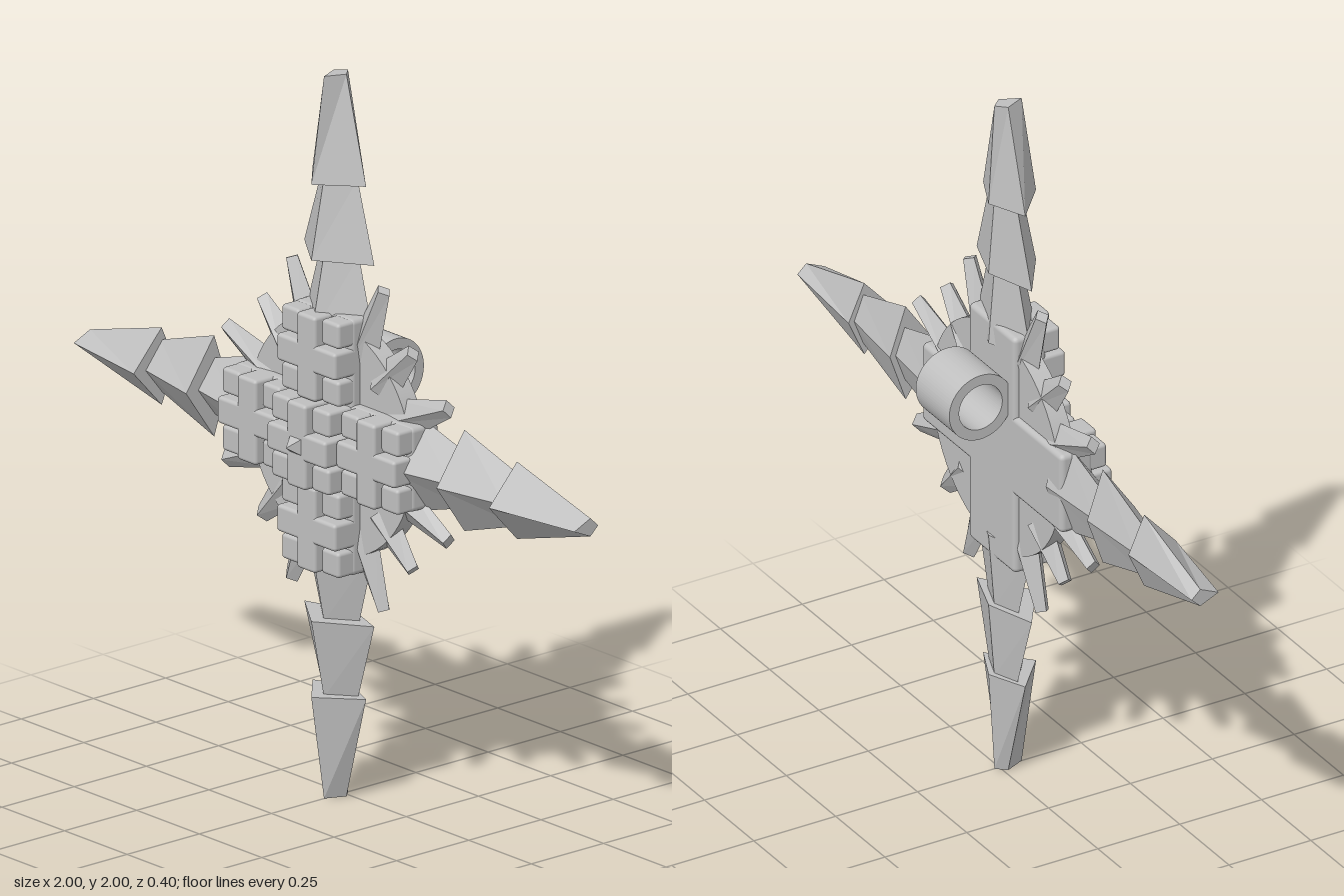
import * as THREE from 'three';
import { RoundedBoxGeometry } from 'three/addons/geometries/RoundedBoxGeometry.js';

const metal = new THREE.MeshStandardMaterial({ color: 0xbfbfbf });
metal.name = 'grey metal';

function add(parent, name, geometry, x = 0, y = 0, z = 0) {
  const mesh = new THREE.Mesh(geometry, metal);
  mesh.name = name;
  mesh.position.set(x, y, z);
  parent.add(mesh);
  return mesh;
}

// Tapered bar with a kite cross-section, running along +y.
// Each end: { y, w: half width, front, mid, back } (z positions)
function taper(base, tip) {
  const points = [];
  for (const e of [base, tip]) {
    points.push(0, e.y, e.front, e.w, e.y, e.mid, 0, e.y, e.back, -e.w, e.y, e.mid);
  }
  const index = [0, 3, 2, 0, 2, 1, 4, 5, 6, 4, 6, 7];
  for (let i = 0; i < 4; i++) {
    const j = (i + 1) % 4;
    index.push(i, j, j + 4, i, j + 4, i + 4);
  }
  const g = new THREE.BufferGeometry();
  g.setAttribute('position', new THREE.Float32BufferAttribute(points, 3));
  g.setIndex(index);
  const flat = g.toNonIndexed();
  flat.computeVertexNormals();
  return flat;
}

// Box given by its centre, size and z range, with softened edges
function block(parent, name, x, y, w, h, z0, z1, r = 0.01) {
  return add(parent, name, new RoundedBoxGeometry(w, h, z1 - z0, 2, r), x, y, (z0 + z1) / 2);
}

// Square tile: raised plus with four lower corner studs
function plusTile(parent, x, y, z0, top, cornerTop) {
  const tile = new THREE.Group();
  tile.name = 'plusTile';
  tile.position.set(x, y, 0);
  block(tile, 'plusUpright', 0, 0, 0.075, 0.235, z0, top);
  block(tile, 'plusCrossbar', 0, 0, 0.235, 0.075, z0, top);
  for (const sx of [-1, 1]) {
    for (const sy of [-1, 1]) {
      block(tile, 'cornerStud', sx * 0.08, sy * 0.08, 0.07, 0.07, z0, cornerTop);
    }
  }
  parent.add(tile);
}

export function createModel() {
  const model = new THREE.Group();
  model.name = 'starPendant';
  const star = new THREE.Group();
  star.name = 'star';
  star.position.y = 1;
  model.add(star);

  // Four long arms of nested tapered segments
  const segments = [
    [0.29, 0.51, 0.14, 0.075],
    [0.5, 0.72, 0.14, 0.07],
    [0.71, 1, 0.107, 0.025],
  ];
  for (let i = 0; i < 4; i++) {
    const arm = new THREE.Group();
    arm.name = 'arm';
    arm.rotation.z = i * Math.PI / 2;
    for (const [y0, y1, w0, w1] of segments) {
      add(arm, 'armSegment', taper(
        { y: y0, w: w0, front: 0.112, mid: 0.015, back: -0.033 },
        { y: y1, w: w1, front: 0.068, mid: 0.012, back: -0.015 }));
    }
    star.add(arm);

    // Three short spikes between neighbouring arms
    for (const step of [1, 2, 3]) {
      const len = step === 2 ? 0.425 : 0.48;
      const spike = add(star, 'spike', taper(
        { y: 0.25, w: 0.06, front: 0.06, mid: 0.02, back: -0.02 },
        { y: len, w: 0.024, front: 0.04, mid: 0.02, back: 0 }));
      spike.rotation.z = i * Math.PI / 2 + step * Math.PI / 8;
    }
  }

  // Round backing disc
  const disc = add(star, 'disc', new THREE.CylinderGeometry(0.325, 0.325, 0.055, 64), 0, 0, 0.0175);
  disc.rotation.x = Math.PI / 2;

  // Cross plate with studded tiles
  block(star, 'crossUpright', 0, 0, 0.235, 0.71, -0.025, 0.075, 0.015);
  block(star, 'crossBar', 0, 0, 0.71, 0.235, -0.025, 0.075, 0.015);
  for (const [x, y] of [[0, 1], [1, 0], [0, -1], [-1, 0]]) {
    plusTile(star, x * 0.237, y * 0.237, 0.04, 0.133, 0.118);
  }
  plusTile(star, 0, 0, 0.04, 0.167, 0.152);

  // Pyramid point at the centre
  const point = add(star, 'centrePoint', new THREE.ConeGeometry(0.042, 0.045, 4).toNonIndexed(), 0, 0, 0.1775);
  point.geometry.rotateY(Math.PI / 4);
  point.geometry.computeVertexNormals();
  point.rotation.x = Math.PI / 2;

  // Hanging loop behind the disc
  const ring = new THREE.Shape();
  ring.absarc(0, 0, 0.096, 0, Math.PI * 2);
  const hole = new THREE.Path();
  hole.absarc(0, 0, 0.066, 0, Math.PI * 2, true);
  ring.holes.push(hole);
  const loopGeometry = new THREE.ExtrudeGeometry(ring, { depth: 0.17, bevelEnabled: false, curveSegments: 40 });
  loopGeometry.translate(0, 0, -0.085);
  loopGeometry.rotateY(Math.PI / 2);
  add(star, 'hangingLoop', loopGeometry, 0, 0.16, -0.108);

  return model;
}
